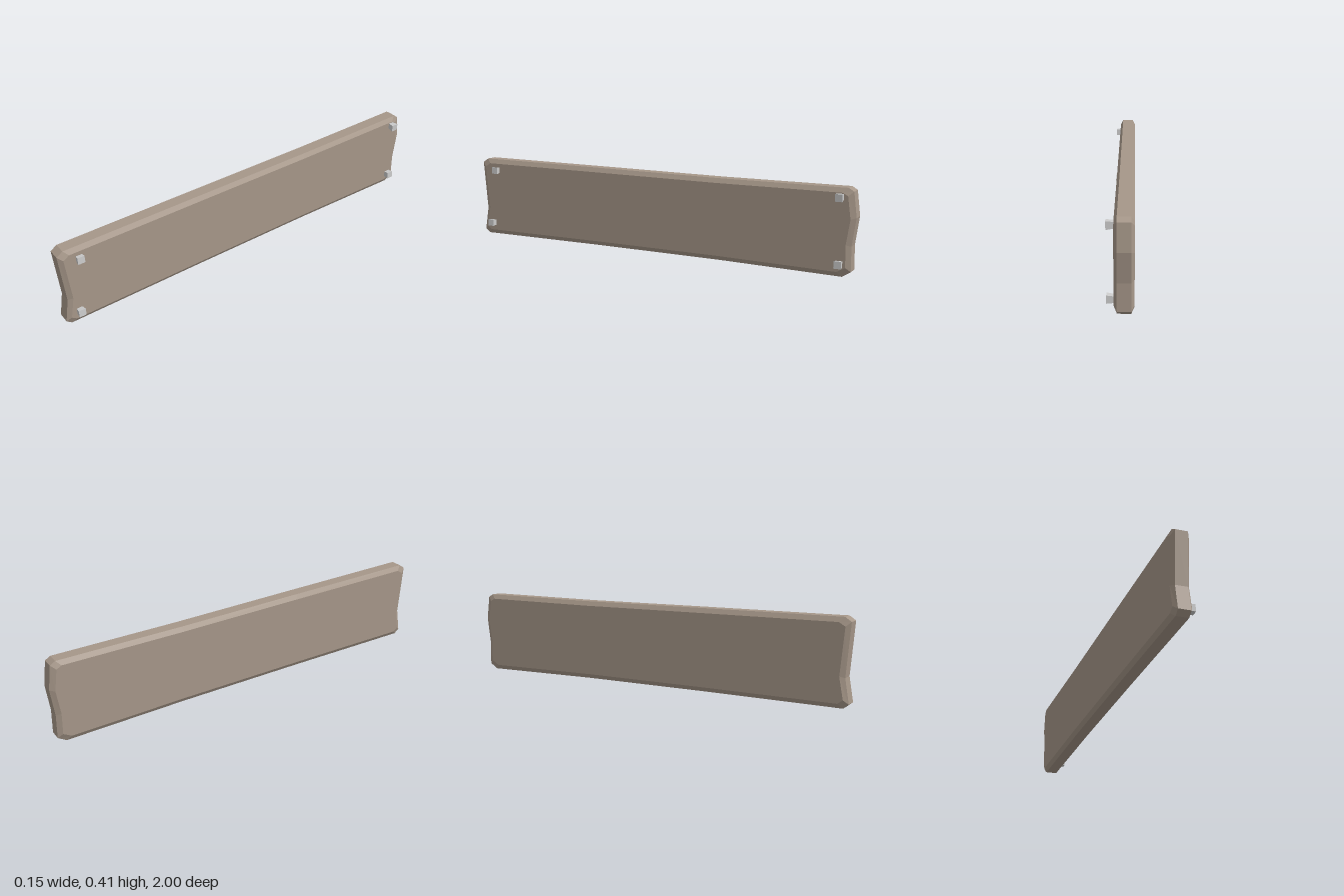
import * as THREE from 'three';

// The plank runs along z and leans slightly in x along its length
const centreX = z => -0.0135 + 0.0195 * z;

// Side outline as [z, y], counter-clockwise seen from +x
const outline = [
  [0.975, 0.01], [0.3, 0.012], [-0.35, 0.01], [-0.945, 0.0],
  [-0.985, 0.025], [-0.983, 0.14], [-1, 0.27], [-0.985, 0.385], [-0.96, 0.4],
  [-0.35, 0.399], [0.3, 0.405], [0.97, 0.41],
  [1, 0.39], [0.98, 0.145], [1, 0.03],
];

function plankGeometry() {
  const n = outline.length;
  const inset = outline.map(([z, y]) => [z * 0.977, 0.205 + (y - 0.205) * 0.89]);
  // Inset faces outside, full outline between them: a chamfer all round
  const layers = [[-0.041, inset], [-0.028, outline], [0.028, outline], [0.041, inset]];
  const positions = [], index = [];
  for (const [x, points] of layers) {
    for (const [z, y] of points) positions.push(centreX(z) + x, y, z);
  }
  for (let k = 0; k < 3; k++) {
    for (let i = 0; i < n; i++) {
      const j = (i + 1) % n, a = k * n, b = a + n;
      index.push(a + i, a + j, b + j, a + i, b + j, b + i);
    }
  }
  // Broad faces
  const flat = inset.map(([z, y]) => new THREE.Vector2(-z, y));
  for (const [a, b, c] of THREE.ShapeUtils.triangulateShape(flat, [])) {
    index.push(3 * n + a, 3 * n + b, 3 * n + c, a, c, b);
  }
  const g = new THREE.BufferGeometry();
  g.setAttribute('position', new THREE.Float32BufferAttribute(positions, 3));
  g.setIndex(index);
  const out = g.toNonIndexed();
  out.computeVertexNormals();
  return out;
}

// Square nail head, slightly wider at its outer end
function nailGeometry() {
  const g = new THREE.BoxGeometry(0.04, 0.034, 0.034);
  const p = g.attributes.position;
  for (let i = 0; i < p.count; i++) {
    if (p.getX(i) < 0) p.setXYZ(i, p.getX(i), p.getY(i) * 0.75, p.getZ(i) * 0.75);
  }
  g.computeVertexNormals();
  return g;
}

export function createModel() {
  const model = new THREE.Group();
  model.name = 'nailedPlank';

  const wood = new THREE.MeshStandardMaterial({ color: 0xa69789, flatShading: true });
  const metal = new THREE.MeshStandardMaterial({ color: 0xcccccc, flatShading: true });

  const plank = new THREE.Mesh(plankGeometry(), wood);
  plank.name = 'plank';
  model.add(plank);

  // Nails on the +x face: outer x, y, z, tilt
  const nails = [
    [0.067, 0.353, 0.905, 0.05], [0.073, 0.073, 0.935, 0.06],
    [0.04, 0.36, -0.93, -0.04], [0.038, 0.06, -0.935, 0.04],
  ];
  const geometry = nailGeometry();
  nails.forEach(([x, y, z, tilt], i) => {
    const nail = new THREE.Mesh(geometry, metal);
    nail.name = 'nail' + (i + 1);
    nail.position.set(x - 0.02, y, z);
    nail.rotation.z = tilt;
    model.add(nail);
  });
  return model;
}
